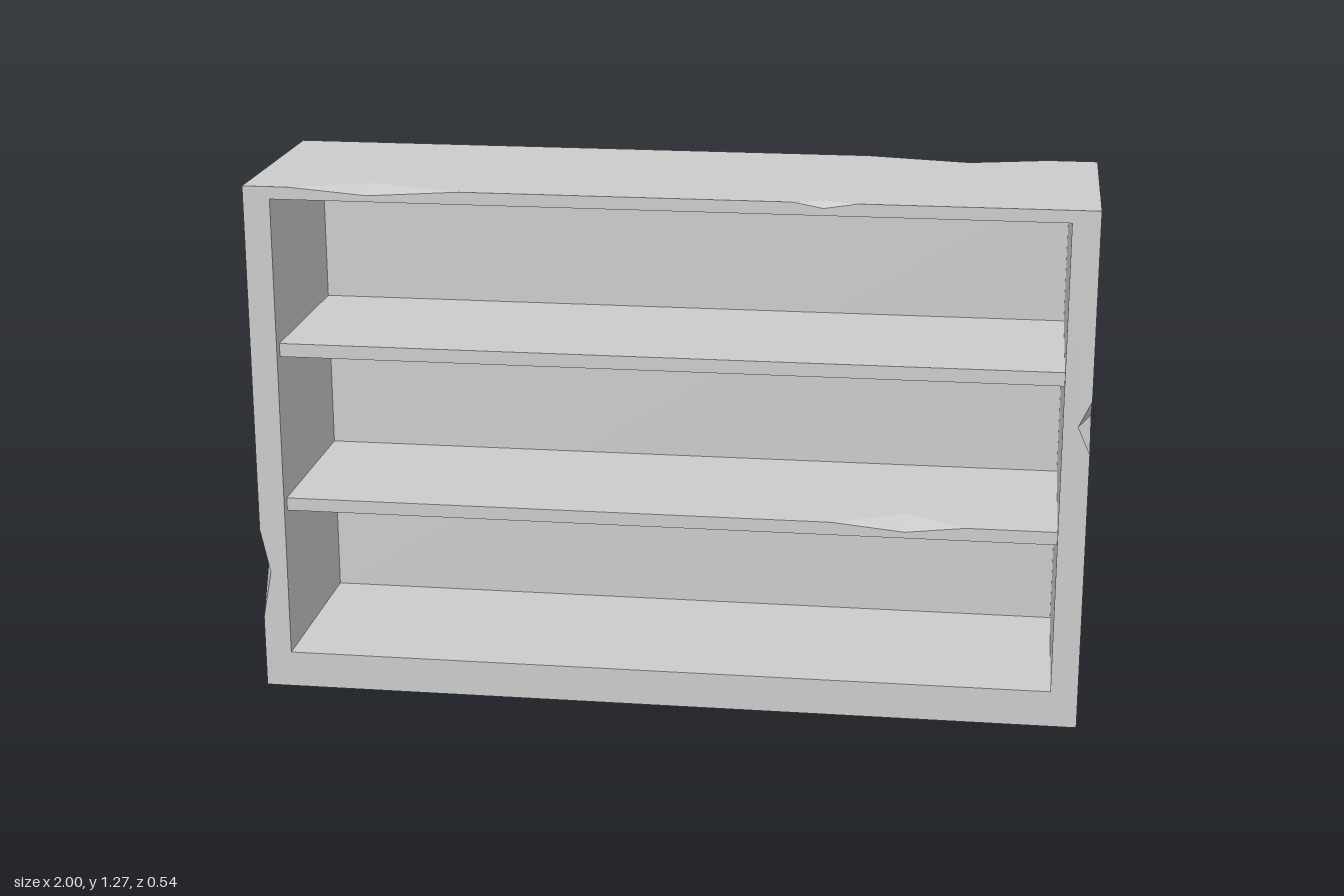
import * as THREE from 'three';

const V = (x, y, z) => new THREE.Vector3(x, y, z);
const W = 1, H = 1.27, D = 0.27;          // half width, height, half depth
const IX = 0.935, Y0 = 0.09, Y1 = 1.24;   // opening
const BACK = -0.21, SHELF_FRONT = 0.245;

// Triangle list whose faces are turned to a wanted direction
class Facets {
  constructor() { this.pos = []; }
  tri(a, b, c, dir) {
    const n = b.clone().sub(a).cross(c.clone().sub(a));
    const list = n.dot(dir) < 0 ? [a, c, b] : [a, b, c];
    list.forEach(p => this.pos.push(p.x, p.y, p.z));
  }
  // Flat polygon across the given axis, with an optional hole
  polygon(axis, dir, loop, hole) {
    const flat = p => {
      const q = p.toArray();
      return new THREE.Vector2(q[(axis + 1) % 3], q[(axis + 2) % 3]);
    };
    const holes = hole ? [hole] : [];
    const all = [...loop, ...holes.flat()];
    THREE.ShapeUtils.triangulateShape(loop.map(flat), holes.map(h => h.map(flat)))
      .forEach(([i, j, k]) => this.tri(all[i], all[j], all[k], dir));
  }
  mesh(name, material) {
    const g = new THREE.BufferGeometry();
    g.setAttribute('position', new THREE.Float32BufferAttribute(this.pos, 3));
    g.computeVertexNormals();
    const m = new THREE.Mesh(g, material);
    m.name = name;
    return m;
  }
}

// Corners of one side of a box, in loop order
function corners(min, max, axis, sign) {
  const u = (axis + 1) % 3, v = (axis + 2) % 3;
  return [[0, 0], [1, 0], [1, 1], [0, 1]].map(([i, j]) => {
    const p = [0, 0, 0];
    p[axis] = (sign > 0 ? max : min).getComponent(axis);
    p[u] = (i ? max : min).getComponent(u);
    p[v] = (j ? max : min).getComponent(v);
    return V(...p);
  });
}

const axisDir = (axis, sign) => V(0, 0, 0).setComponent(axis, sign);

// Box whose edges are chipped; a chip runs from a to b with one low point on each face
function chippedBox(min, max, chips, frontHole) {
  const out = new Facets();
  for (let axis = 0; axis < 3; axis++) for (const sign of [-1, 1]) {
    const c = corners(min, max, axis, sign), loop = [];
    const plane = c[0].getComponent(axis);
    c.forEach((p, i) => {
      const q = c[(i + 1) % 4];
      loop.push(p);
      const onEdge = s => p.distanceTo(s) + s.distanceTo(q) - p.distanceTo(q) < 1e-6;
      chips.filter(k => onEdge(k.a) && onEdge(k.b))
        .sort((k, l) => p.distanceTo(k.a) - p.distanceTo(l.a))
        .forEach(k => {
          const low = k.lows.find(s => Math.abs(s.getComponent(axis) - plane) < 1e-6);
          const ends = p.distanceTo(k.a) < p.distanceTo(k.b) ? [k.a, k.b] : [k.b, k.a];
          loop.push(ends[0], low, ends[1]);
        });
    });
    out.polygon(axis, axisDir(axis, sign), loop, axis === 2 && sign > 0 ? frontHole : null);
  }
  // Two broken facets inside each chip
  chips.forEach(({ a, b, lows: [f, t], dir }) => {
    out.tri(a, f, t, dir);
    out.tri(b, f, t, dir);
  });
  return out;
}

const chip = (a, b, f, t, dir) => ({ a, b, lows: [f, t], dir });

export function createModel() {
  const group = new THREE.Group();
  group.name = 'bookcase';
  const grey = new THREE.MeshStandardMaterial({ color: 0xcccccc });
  grey.name = 'plain grey';

  // Outer case with worn edges and an open front
  const caseChips = [
    chip(V(-0.89, H, D), V(-0.48, H, D), V(-0.7, 1.255, D), V(-0.7, H, 0.2), V(0, 1, 1)),
    chip(V(0.3, H, D), V(0.45, H, D), V(0.37, 1.257, D), V(0.37, H, 0.24), V(0, 1, 1)),
    chip(V(0.44, H, -D), V(0.88, H, -D), V(0.69, 1.255, -D), V(0.69, H, -0.22), V(0, 1, -1)),
    chip(V(W, 0.69, D), V(W, 0.82, D), V(0.97, 0.757, D), V(W, 0.773, 0.22), V(1, 0, 1)),
    chip(V(-W, 0.18, D), V(-W, 0.41, D), V(-0.977, 0.3, D), V(-W, 0.3, 0.21), V(-1, 0, 1)),
  ];
  const inMin = V(-IX, Y0, BACK), inMax = V(IX, Y1, D);
  group.add(chippedBox(V(-W, 0, -D), V(W, H, D), caseChips, corners(inMin, inMax, 2, 1))
    .mesh('case', grey));

  // Inner walls and back panel, facing inwards
  const inner = new Facets();
  [[0, -1], [0, 1], [1, -1], [1, 1], [2, -1]].forEach(([axis, sign]) =>
    inner.polygon(axis, axisDir(axis, -sign), corners(inMin, inMax, axis, sign)));
  group.add(inner.mesh('innerWalls', grey));

  // Shelves, the lower one with a worn front edge
  const S = SHELF_FRONT, top = 0.487;
  const shelfChip = chip(V(0.4, top, S), V(0.72, top, S),
    V(0.575, 0.47, S), V(0.575, top, S - 0.085), V(0, 1, 1));
  [['lowerShelf', 0.455, top, [shelfChip]], ['upperShelf', 0.847, 0.88, []]]
    .forEach(([name, y0, y1, chips]) =>
      group.add(chippedBox(V(-IX, y0, BACK), V(IX, y1, S), chips).mesh(name, grey)));

  return group;
}
